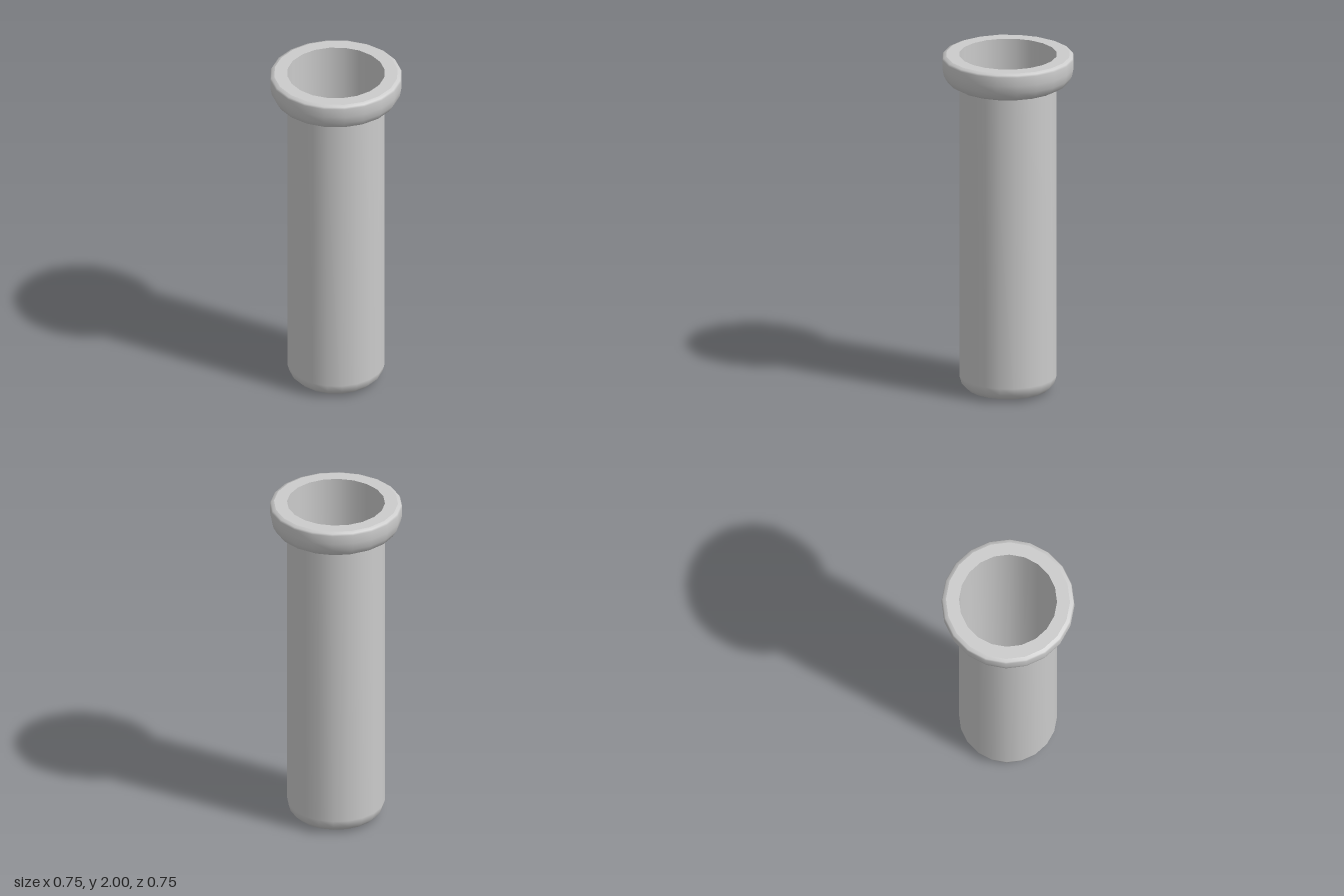
import * as THREE from 'three';

const SIDES = 20;
const material = new THREE.MeshStandardMaterial({ color: 0xcccccc, side: THREE.DoubleSide });

// Turn a [radius, height] profile around the y axis
function turned(name, profile) {
  const points = profile.map(([r, y]) => new THREE.Vector2(r, y));
  const mesh = new THREE.Mesh(new THREE.LatheGeometry(points, SIDES), material);
  mesh.name = name;
  return mesh;
}

export function createModel() {
  const group = new THREE.Group();
  group.name = 'flangedTube';

  // Thin open tube with a rounded, closed bottom
  group.add(turned('tubeBody', [
    [0, 0], [0.19, 0.005], [0.235, 0.015], [0.265, 0.045], [0.278, 0.09],
    [0.278, 1.82], [0.278, 2],
  ]));

  // Collar around the mouth, rounded underneath
  group.add(turned('collar', [
    [0.278, 1.823], [0.308, 1.825], [0.345, 1.847], [0.367, 1.885],
    [0.376, 1.93], [0.376, 1.982], [0.37, 1.993], [0.352, 2],
  ]));

  // Flat lip on top of the collar
  group.add(turned('lip', [[0.352, 2], [0.278, 2]]));

  return group;
}
